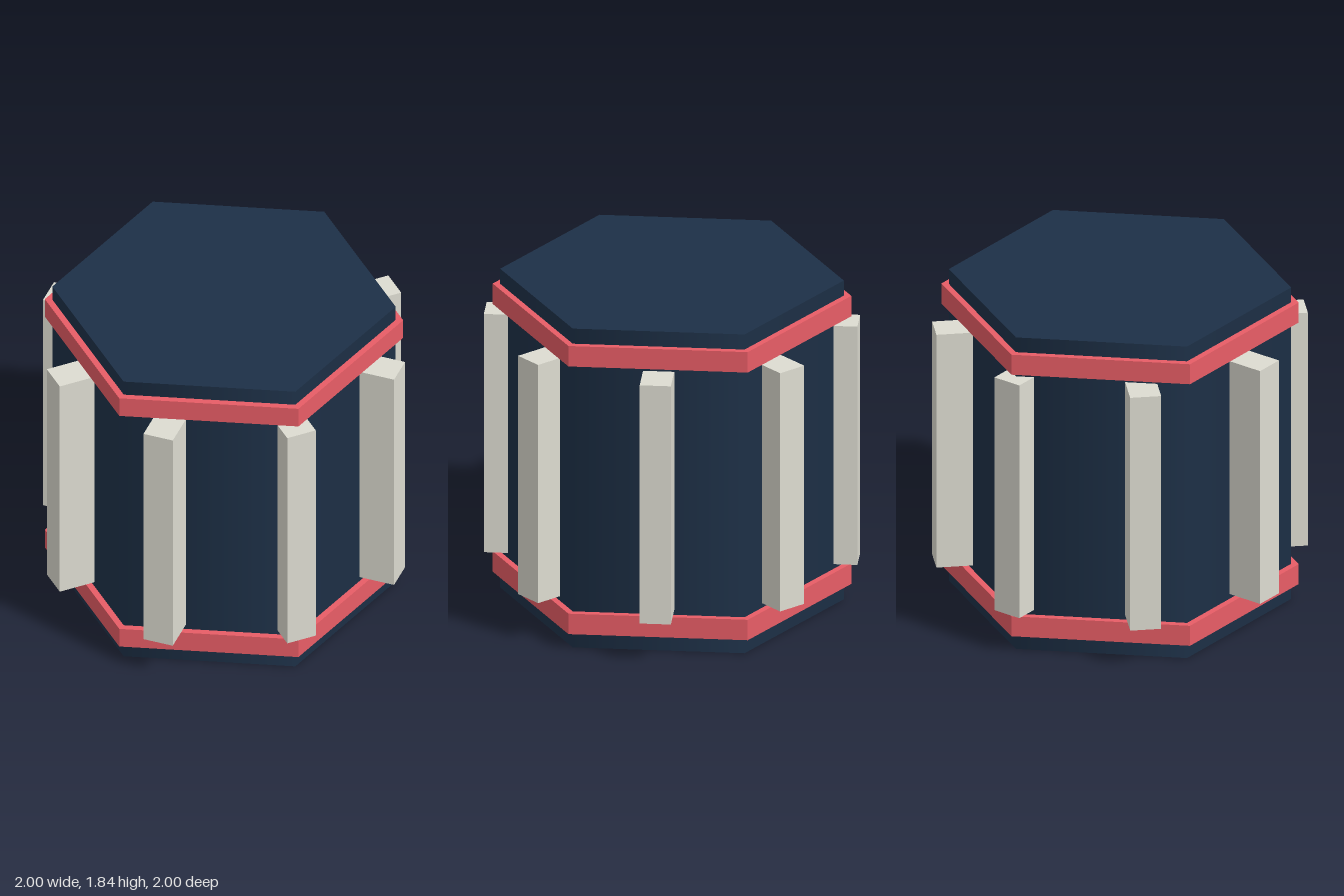
import * as THREE from 'three';

export function createModel() {
  const model = new THREE.Group();
  const navy = new THREE.MeshStandardMaterial({ color: 0x1d3047 });
  const red = new THREE.MeshStandardMaterial({ color: 0xe85d66, flatShading: true });
  const cream = new THREE.MeshStandardMaterial({ color: 0xdddcd1, flatShading: true });

  const add = (name, geometry, material, y) => {
    const mesh = new THREE.Mesh(geometry, material);
    mesh.name = name;
    mesh.position.y = y;
    model.add(mesh);
    return mesh;
  };

  // Six-sided body with softly shaded sides and corners on the z axis
  add('body', new THREE.CylinderGeometry(0.92, 0.92, 1.84, 6), navy, 0.92);

  // Bands near the bottom and the top
  const band = new THREE.CylinderGeometry(0.96, 0.96, 0.118, 6);
  add('bottomBand', band, red, 0.149);
  add('topBand', band, red, 1.694);

  // Eight upright posts set into the body, spaced evenly around it
  const depth = 0.25;
  const post = new THREE.BoxGeometry(0.167, 1.375, depth).translate(0, 0, 1 - depth / 2);
  for (let i = 0; i < 8; i++) {
    add(`post${i + 1}`, post, cream, 0.923).rotation.y = (i * Math.PI) / 4;
  }

  return model;
}
